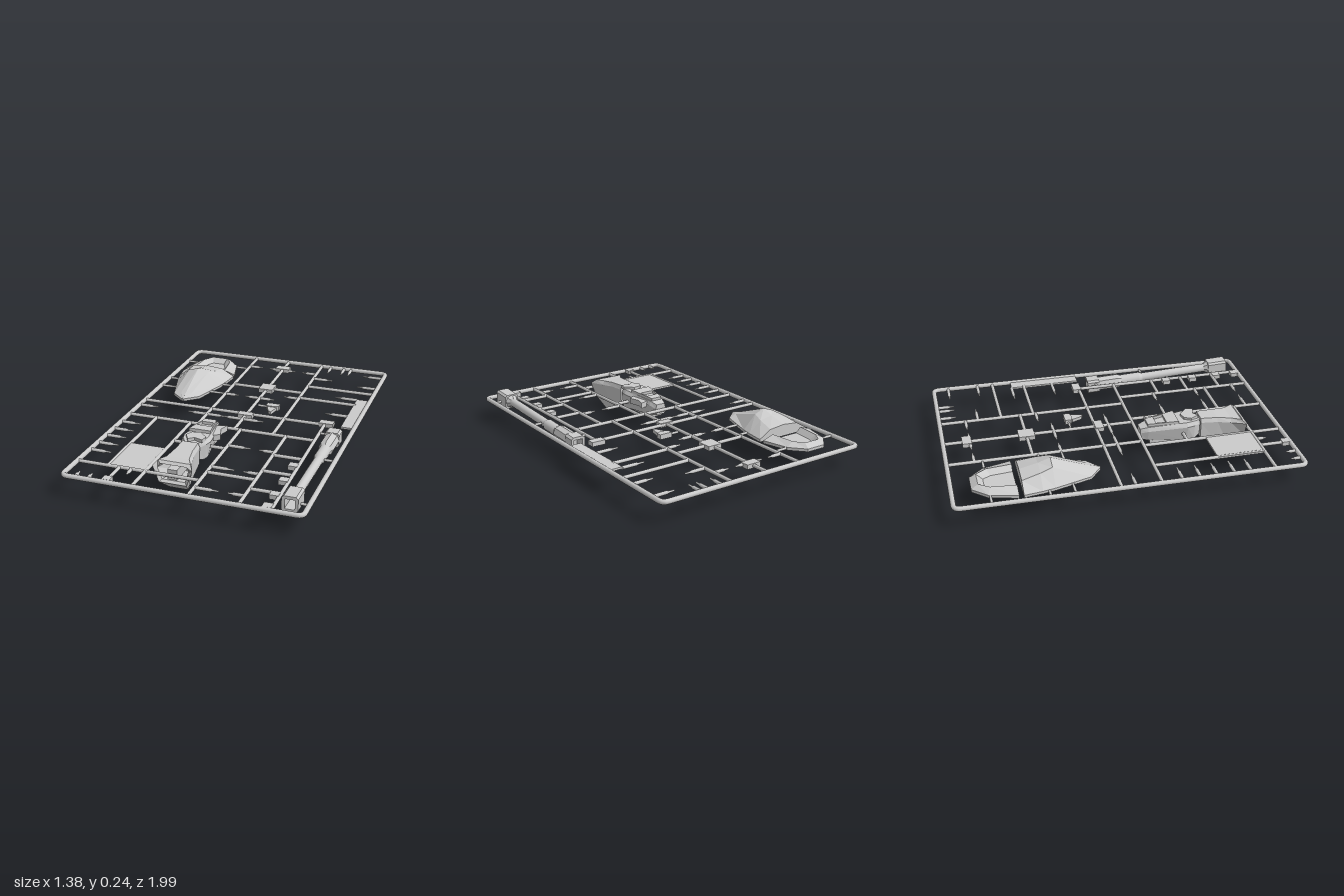
import * as THREE from 'three';

const Y = 0.128; // height of the runner plane
const mat = new THREE.MeshStandardMaterial({ color: 0xcccccc, side: THREE.DoubleSide });
const flat = new THREE.MeshStandardMaterial({ color: 0xcccccc, side: THREE.DoubleSide, flatShading: true });
const V = (x, y, z) => new THREE.Vector3(x, y, z);

function add(parent, name, geo, m = flat) {
  const mesh = new THREE.Mesh(geo, m);
  mesh.name = name;
  parent.add(mesh);
  return mesh;
}

// Skin between rings of equal point count, with optional end caps
function loft(rings, capStart = true, capEnd = true) {
  const n = rings[0].length, idx = [];
  for (let r = 0; r < rings.length - 1; r++) {
    for (let i = 0; i < n; i++) {
      const a = r * n + i, b = r * n + (i + 1) % n;
      idx.push(a, b, b + n, a, b + n, a + n);
    }
  }
  const e = (rings.length - 1) * n;
  for (let i = 1; i < n - 1; i++) {
    if (capStart) idx.push(0, i + 1, i);
    if (capEnd) idx.push(e, e + i, e + i + 1);
  }
  const g = new THREE.BufferGeometry().setFromPoints(rings.flat());
  g.setIndex(idx);
  const out = g.toNonIndexed();
  out.computeVertexNormals();
  return out;
}

// Flat plate from an x,z outline, with optional holes
function plate(pts, y, h, holes = []) {
  const conv = p => p.map(([x, z]) => new THREE.Vector2(x, -z));
  const s = new THREE.Shape(conv(pts));
  holes.forEach(p => s.holes.push(new THREE.Path(conv(p))));
  return new THREE.ExtrudeGeometry(s, { depth: h, bevelEnabled: false }).rotateX(-Math.PI / 2).translate(0, y, 0);
}
const rect = (x0, x1, z0, z1) => [[x0, z0], [x1, z0], [x1, z1], [x0, z1]];

// Lathed rod lying in the runner plane; profile is [radius, distance]
function rod(parent, name, x1, z1, x2, z2, profile) {
  const d = V(x2 - x1, 0, z2 - z1), L = d.length();
  const pts = profile.map(([r, t]) => new THREE.Vector2(r, t * L));
  const m = add(parent, name, new THREE.LatheGeometry(pts, 10), mat);
  m.position.set(x1, Y, z1);
  m.quaternion.setFromUnitVectors(V(0, 1, 0), d.normalize());
}

function buildFrame(root) {
  const c = [[-0.672, -0.98], [0.674, -0.98], [0.654, 0.98], [-0.674, 0.98]].map(([x, z]) => V(x, Y, z));
  c[0].x = -0.654;
  const path = new THREE.CurvePath(), k = 0.035;
  const toward = (a, b) => a.clone().add(b.clone().sub(a).setLength(k));
  c.forEach((p, i) => {
    const next = c[(i + 1) % 4], after = c[(i + 2) % 4];
    path.add(new THREE.LineCurve3(toward(p, next), toward(next, p)));
    path.add(new THREE.QuadraticBezierCurve3(toward(next, p), next, toward(next, after)));
  });
  add(root, 'outerFrame', new THREE.TubeGeometry(path, 420, 0.0145, 10, true), mat);
}

function buildRunners(root) {
  const g = new THREE.Group();
  g.name = 'runners';
  root.add(g);
  const bars = [ // x1, z1, x2, z2
    [-0.222, -0.98, -0.222, 0.146], [0.005, -0.98, 0.005, 0.146], [0.238, -0.98, 0.238, 0.146],
    [0.487, -0.08, 0.487, 0.98], [-0.487, 0.146, -0.487, 0.8], [-0.27, 0.146, -0.27, 0.98],
    [0.042, 0.146, 0.042, 0.98], [0.317, 0.146, 0.317, 0.98], [-0.665, 0.146, 0.487, 0.146],
    [-0.664, -0.08, 0.487, -0.08], [-0.67, 0.8, 0.042, 0.8], [0.317, 0.8, 0.487, 0.8],
    [-0.222, -0.495, 0.238, -0.495], [0.238, -0.61, 0.67, -0.61], [0.238, -0.415, 0.6, -0.415],
    [0.042, 0.7, 0.317, 0.7], [0.317, 0.59, 0.487, 0.59], [0.317, 0.395, 0.487, 0.395],
    [-0.27, 0.405, 0.042, 0.405], [-0.42, 0.8, -0.42, 0.95]];
  bars.forEach(b => rod(g, 'runner', ...b, [[0.0105, 0], [0.0105, 1]]));
  // Thin gates holding the larger parts
  const gates = [[-0.66, -0.78, -0.57, -0.78], [-0.3, -0.78, -0.222, -0.78], [-0.66, -0.465, -0.58, -0.465],
    [-0.3, -0.465, -0.222, -0.465], [-0.66, -0.33, -0.55, -0.33], [-0.33, -0.33, -0.222, -0.33],
    [0.487, 0.04, 0.54, 0.04], [0.6, 0.36, 0.66, 0.36], [0.6, 0.865, 0.655, 0.865], [0.03, -0.225, 0.09, -0.225]];
  gates.forEach(b => rod(g, 'gate', ...b, [[0.008, 0], [0.008, 0.5], [0.006, 1]]));
}

function buildPegs(root) {
  const g = new THREE.Group();
  g.name = 'pegs';
  root.add(g);
  const peg = (x, z, dx, dz = 0) => rod(g, 'peg', x, z, x + dx, z + dz,
    [[0.01, 0], [0.01, 0.65], [0.006, 0.75], [0.005, 1], [0, 1]]);
  [0, 0.262, 0.363, 0.459, 0.56, 0.655].forEach(z => peg(-0.666, z, 0.126));
  [-0.825, -0.33].forEach(z => peg(-0.222, z, 0.09));
  [-0.825, -0.4].forEach(z => peg(0.238, z, -0.095));
  [-1, 1].forEach(s => {
    peg(0.005, -0.825, s * 0.09);
    peg(0.005, -0.33, s * 0.095);
    peg(0.005, 0, s * 0.13);
    peg(-0.222, 0, s * 0.12);
  });
  peg(0.67, -0.89, -0.13);
  peg(0.67, -0.705, -0.13);
  peg(0.238, -0.75, 0.13);
  [0.302, 0.392, 0.439].forEach(x => peg(x, -0.98, 0, 0.105));
  [-0.495, -0.237].forEach(z => peg(0.59, z, -0.14));
  [0.363, 0.634, 0.88].forEach(z => {
    peg(0.042, z, 0.135);
    peg(0.317, z, -0.09);
  });
  peg(-0.35, 0.8, 0, 0.06);
  [-0.598, -0.524].forEach(x => peg(x, 0.98, 0, -0.065));
}

function buildPlates(root) {
  add(root, 'wideSheet', plate(rect(-0.497, -0.27, 0.517, 0.8), 0.122, 0.012));
  add(root, 'sideSheet', plate(rect(0.587, 0.66, -0.495, -0.07), 0.122, 0.012));
  const tabs = [[0.005, -0.843, 0.09, 0.055], [0.005, -0.495, 0.09, 0.095], [0.005, -0.06, 0.09, 0.05],
    [0.497, -0.095, 0.085, 0.05], [-0.42, 0.95, 0.045, 0.045]];
  [0.49, 0.665, 0.825, 0.95].forEach(z => tabs.push([0.462, z, 0.05, 0.048]));
  tabs.forEach(([x, z, w, d]) =>
    add(root, 'tab', new THREE.BoxGeometry(w, 0.026, d).translate(x, Y, z)));
  // Small stepped fitting
  add(root, 'smallFittingHead', plate([[0.085, -0.245], [0.165, -0.245], [0.165, -0.21], [0.145, -0.2], [0.105, -0.2], [0.085, -0.21]], 0.115, 0.03));
  add(root, 'smallFittingTail', plate([[0.095, -0.2], [0.155, -0.2], [0.14, -0.13], [0.12, -0.14]], 0.12, 0.02));
}

function buildShield(root) {
  const g = new THREE.Group();
  g.name = 'shield';
  g.position.x = -0.442;
  root.add(g);
  // Ridged body: z, half width, shoulder x, shoulder y, ridge y
  const sec = [[-0.605, 0.177, 0.1, 0.178, 0.188], [-0.5, 0.163, 0.085, 0.2, 0.213], [-0.43, 0.148, 0.065, 0.214, 0.237],
    [-0.22, 0.085, 0.035, 0.15, 0.157], [-0.152, 0.005, 0.002, 0.136, 0.138]];
  add(g, 'shieldBody', loft(sec.map(([z, w, s, ys, yr]) =>
    [[-w, 0.118], [w, 0.118], [w, 0.134], [s, ys], [0, yr], [-s, ys], [-w, 0.134]].map(([x, y]) => V(x, y, z)))));
  // Horseshoe rim around a sunken floor
  const outer = [[-0.175, -0.63], [-0.135, -0.79], [-0.06, -0.873], [0.06, -0.873], [0.135, -0.79], [0.175, -0.63]];
  const crest = [[-0.105, -0.63], [-0.09, -0.775], [-0.05, -0.835], [0.05, -0.835], [0.09, -0.775], [0.105, -0.63]];
  const inner = [[-0.075, -0.63], [-0.062, -0.755], [-0.038, -0.8], [0.038, -0.8], [0.062, -0.755], [0.075, -0.63]];
  add(g, 'shieldRim', loft(outer.map(([x, z], i) => {
    const [cx, cz] = crest[i], [ix, iz] = inner[i];
    return [V(x, 0.118, z), V(x, 0.135, z), V(cx, 0.158, cz), V(ix, 0.128, iz), V(ix, 0.118, iz)];
  })));
  add(g, 'shieldFloor', plate(inner, 0.118, 0.01));
}

function buildLeg(root) {
  const g = new THREE.Group();
  g.name = 'leg';
  g.position.x = -0.12;
  root.add(g);
  const ring = ([z, wb, wt, y0, y1]) => [V(-wb, y0, z), V(wb, y0, z), V(wt, y1 - 0.025, z),
    V(wt * 0.82, y1, z), V(-wt * 0.82, y1, z), V(-wt, y1 - 0.025, z)];
  // Upper segment with a framed window on top
  add(g, 'upperLeg', loft([[0.155, 0.03, 0.036, 0.1, 0.165], [0.2, 0.04, 0.052, 0.09, 0.178],
    [0.43, 0.07, 0.086, 0.08, 0.196], [0.475, 0.065, 0.075, 0.08, 0.196], [0.517, 0.035, 0.04, 0.09, 0.185]].map(ring)));
  const win = add(g, 'windowFrame', plate([[-0.035, 0], [0.035, 0], [0.065, 0.18], [-0.065, 0.18]], 0, 0.018,
    [[[-0.035, 0.05], [0.035, 0.05], [0.045, 0.11], [-0.045, 0.11]]]));
  win.position.set(0, 0.177, 0.2);
  win.rotation.x = -0.08;
  add(g, 'kneePad', plate([[-0.03, 0.42], [0.02, 0.41], [0.07, 0.46], [0.06, 0.5], [0.01, 0.485], [-0.02, 0.51], [-0.05, 0.46]], 0.19, 0.02));
  add(g, 'underFrame', plate(rect(-0.045, 0.045, 0.21, 0.46), 0.07, 0.022, [rect(-0.03, 0.03, 0.235, 0.34)]));
  add(g, 'sideFin', plate([[0.05, 0.23], [0.104, 0.21], [0.087, 0.265], [0.108, 0.335], [0.06, 0.36]], 0.14, 0.035));
  // Flared lower segment, hollow toward the front
  const flare = [[0.52, 0.05, 0.055, 0.07, 0.198], [0.62, 0.052, 0.062, 0.035, 0.195],
    [0.7, 0.055, 0.078, 0.0, 0.188], [0.785, 0.08, 0.114, 0.07, 0.188]];
  const rings = flare.map(ring);
  // Scoop the middle of the front hem
  rings[3][3].z = rings[3][4].z = 0.755;
  rings.push(ring([0.77, 0.066, 0.092, 0.082, 0.174]), ring([0.62, 0.04, 0.045, 0.07, 0.17]));
  add(g, 'lowerLeg', loft(rings));
  add(g, 'ankle', new THREE.BoxGeometry(0.055, 0.06, 0.16).translate(0, 0.125, 0.705));
}

function buildShaft(root) {
  const g = new THREE.Group();
  g.name = 'shaft';
  g.position.set(0.567, 0.105, -0.01);
  g.rotation.x = -0.043;
  root.add(g);
  const seg = (name, r0, r1, z0, z1, n, m) => add(g, name,
    new THREE.CylinderGeometry(r1, r0, z1 - z0, n).rotateX(Math.PI / 2).translate(0, 0, (z0 + z1) / 2), m);
  seg('grip', 0.045, 0.045, 0.06, 0.205, 8, flat);
  seg('gripTaper', 0.045, 0.034, 0.205, 0.225, 8, flat);
  seg('sleeve', 0.034, 0.034, 0.225, 0.345, 16, mat);
  seg('sleeveTaper', 0.034, 0.026, 0.345, 0.365, 16, mat);
  seg('rod', 0.026, 0.026, 0.365, 0.8, 16, mat);
  seg('collar', 0.027, 0.042, 0.785, 0.81, 8, flat);
  // Chamfered square sockets on both ends
  const socket = (name, z, d) => {
    const a = 0.044, b = 0.032, h = 0.027;
    const s = new THREE.Shape([[a, -b], [a, b], [b, a], [-b, a], [-a, b], [-a, -b], [-b, -a], [b, -a]].map(p => new THREE.Vector2(...p)));
    s.holes.push(new THREE.Path([[h, h], [h, -h], [-h, -h], [-h, h]].map(p => new THREE.Vector2(...p))));
    add(g, name, new THREE.ExtrudeGeometry(s, { depth: d, bevelEnabled: false }).translate(0, 0, z));
  };
  socket('rearSocket', 0, 0.075);
  socket('frontSocket', 0.81, 0.12);
}

export function createModel() {
  const root = new THREE.Group();
  root.name = 'partsFrame';
  [buildFrame, buildRunners, buildPegs, buildPlates, buildShield, buildLeg, buildShaft].forEach(f => f(root));
  return root;
}
